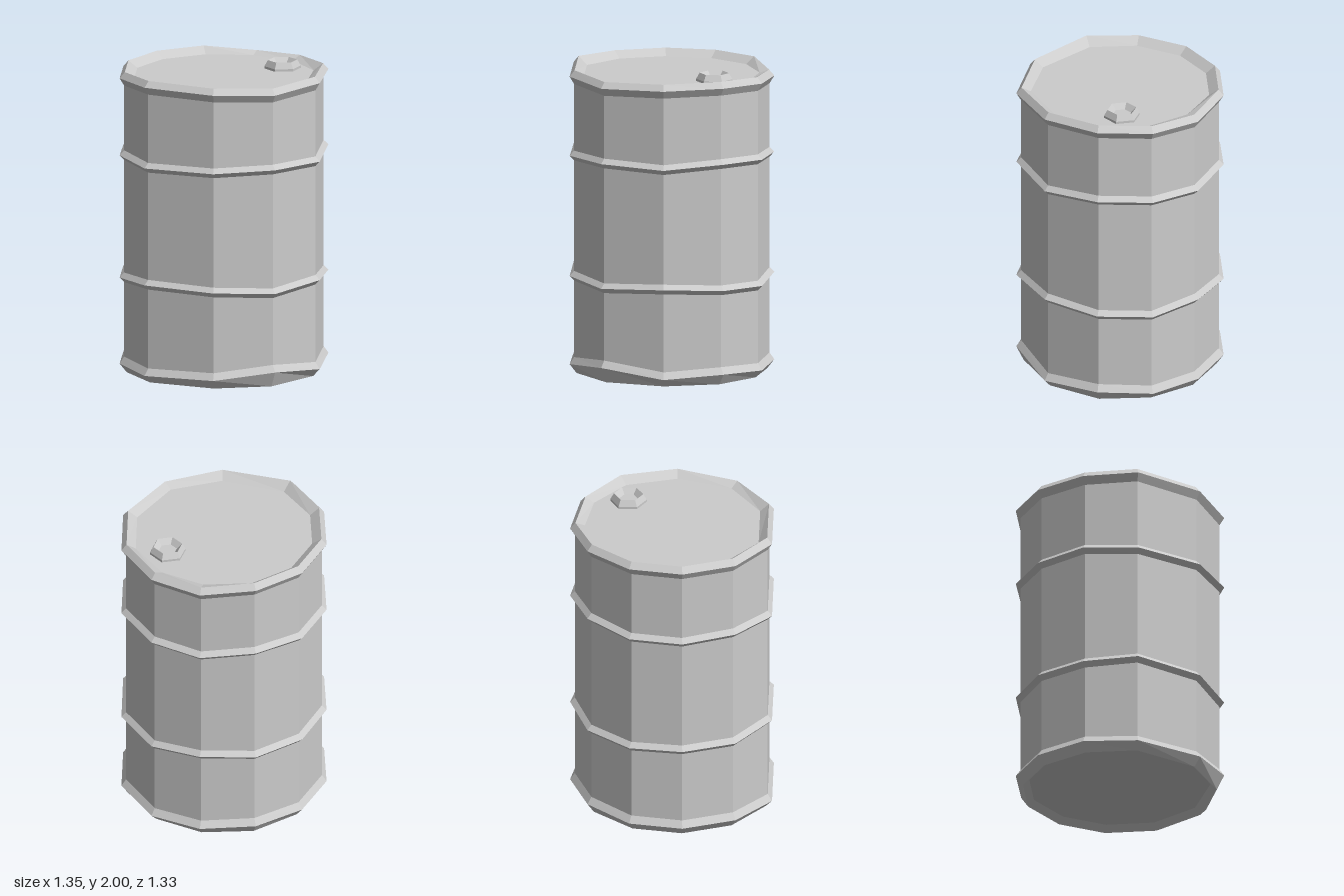
import * as THREE from 'three';

const material = new THREE.MeshStandardMaterial({ color: 0xcccccc, flatShading: true });

// Hand-bent eleven-sided outline as [x, z], clockwise seen from above
const outline = [
  [-0.21, -0.645], [0.14, -0.665], [0.46, -0.505], [0.655, -0.2], [0.675, 0.15], [0.51, 0.47],
  [0.16, 0.66], [-0.27, 0.62], [-0.565, 0.34], [-0.675, -0.13], [-0.515, -0.45],
];
const hexagon = Array.from({ length: 6 }, (_, i) => {
  const a = -0.2 + (i * Math.PI) / 3;
  return [Math.cos(a), Math.sin(a)];
});

// Height of each outline corner along the dented hoops
const bottomEdge = [0.06, 0.06, 0.07, 0.06, 0.05, 0.07, 0.05, 0.1, 0.06, 0.05, 0.06];
const lowerEdge = [0.63, 0.62, 0.62, 0.635, 0.605, 0.62, 0.64, 0.62, 0.64, 0.65, 0.63];
const upperEdge = [1.43, 1.43, 1.45, 1.425, 1.435, 1.45, 1.425, 1.44, 1.43, 1.425, 1.44];
const topEdge = [1.95, 1.95, 1.95, 1.925, 1.935, 1.95, 1.945, 1.935, 1.95, 1.96, 1.95];

const WALL = 0.955;
const shift = (heights, d) => heights.map((y) => y + d);

// Skins rings of [scale, height or heights per corner], from the lowest outer ring onwards
function loft(name, shape, rings) {
  const n = shape.length;
  const positions = [];
  const index = [];
  for (const [scale, y] of rings) {
    shape.forEach(([x, z], i) => positions.push(x * scale, Array.isArray(y) ? y[i] : y, z * scale));
  }
  for (let r = 0; r < rings.length - 1; r++) {
    for (let i = 0; i < n; i++) {
      const a = r * n + i;
      const b = r * n + ((i + 1) % n);
      index.push(a, a + n, b + n, a, b + n, b);
    }
  }
  const indexed = new THREE.BufferGeometry();
  indexed.setAttribute('position', new THREE.Float32BufferAttribute(positions, 3));
  indexed.setIndex(index);
  const geometry = indexed.toNonIndexed();
  geometry.computeVertexNormals();
  const mesh = new THREE.Mesh(geometry, material);
  mesh.name = name;
  return mesh;
}

// Ridged hoop around the wall
const hoop = (name, edge) => loft(name, outline, [
  [WALL, shift(edge, -0.032)], [1, edge], [WALL, shift(edge, 0.032)],
]);

export function createModel() {
  const drum = new THREE.Group();
  drum.name = 'drum';

  // Straight wall between the two rims
  drum.add(loft('wall', outline, [[WALL, shift(bottomEdge, 0.045)], [WALL, shift(topEdge, -0.05)]]));

  // Bottom rim with the recessed base
  drum.add(loft('bottomRim', outline, [
    [0, 0.04], [0.87, 0.04], [0.93, 0], [1, bottomEdge], [WALL, shift(bottomEdge, 0.045)],
  ]));

  drum.add(hoop('lowerHoop', lowerEdge), hoop('upperHoop', upperEdge));

  // Top rim running inwards to the sunken lid
  drum.add(loft('topRim', outline, [
    [WALL, shift(topEdge, -0.05)], [1, topEdge], [0.95, shift(topEdge, 0.04)], [0.86, 1.945], [0, 1.945],
  ]));

  // Hollow six-sided bung near the edge of the lid
  const bung = loft('bung', hexagon, [
    [0.118, 1.943], [0.118, 1.96], [0.095, 2], [0.06, 1.965], [0, 1.965],
  ]);
  bung.position.set(0.37, 0, 0.205);
  drum.add(bung);

  return drum;
}
